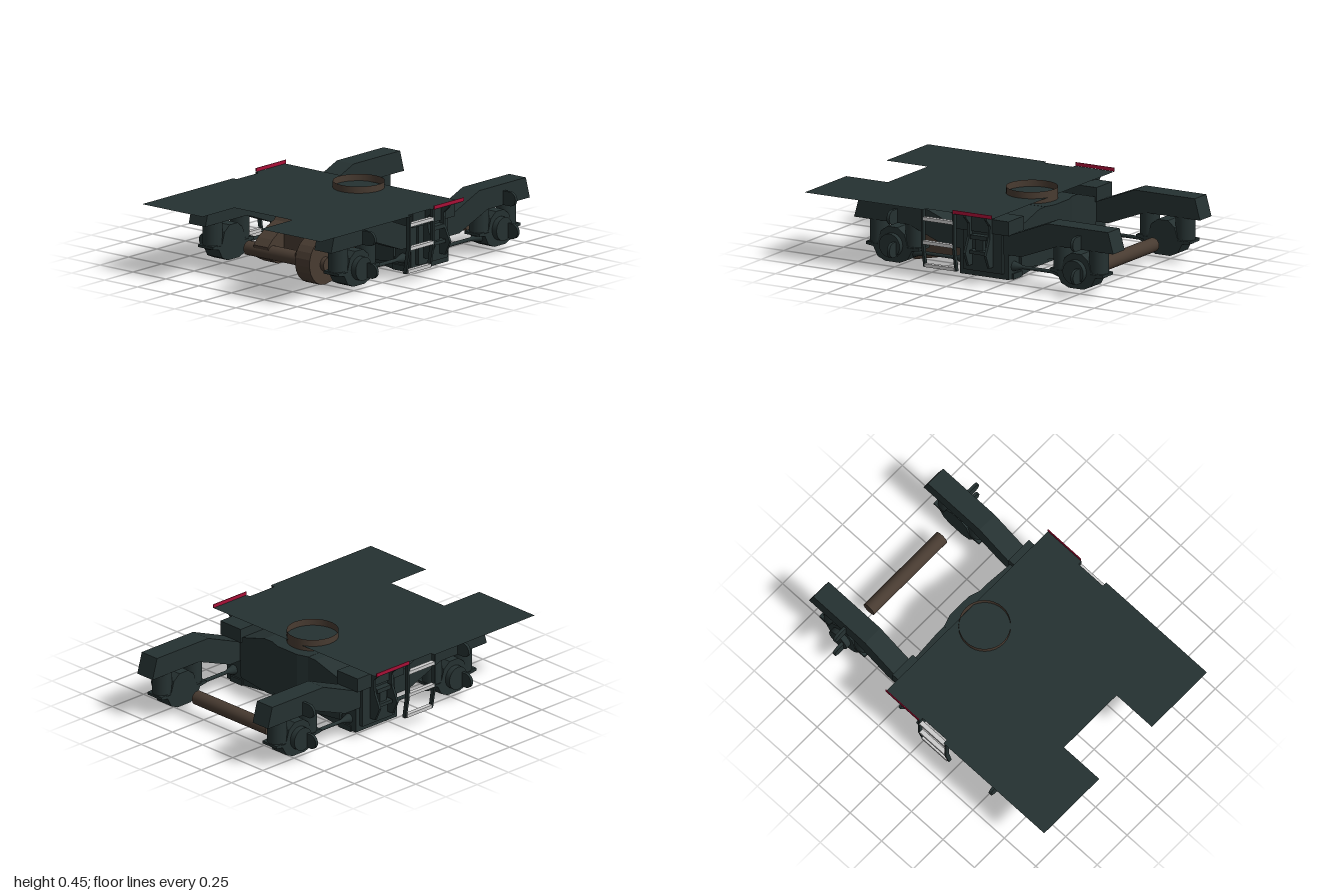
import * as THREE from 'three';

const mat = (name, color, side = THREE.FrontSide) => {
  const m = new THREE.MeshStandardMaterial({ color, side });
  m.name = name;
  return m;
};

export function createModel() {
  const root = new THREE.Group();
  root.name = 'bogie';
  const dark = mat('dark green steel', 0x253131);
  const darkSheet = mat('dark sheet steel', 0x253131, THREE.DoubleSide);
  const brown = mat('brown iron', 0x483b31);
  const brownSheet = mat('brown sheet', 0x483b31, THREE.DoubleSide);
  const red = mat('red', 0xa80f36);
  const grey = mat('light grey', 0xcccccc);
  const MID = -0.125; // z of the pivot, the frame is symmetric about it

  const add = (parent, name, geo, material, x = 0, y = 0, z = 0) => {
    const m = new THREE.Mesh(geo, material);
    m.name = name;
    m.position.set(x, y, z);
    parent.add(m);
    return m;
  };
  // box given by its limits
  const box = (p, name, m, x0, x1, y0, y1, z0, z1) =>
    add(p, name, new THREE.BoxGeometry(x1 - x0, y1 - y0, z1 - z0), m, (x0 + x1) / 2, (y0 + y1) / 2, (z0 + z1) / 2);
  const shape = (pts) => new THREE.Shape(pts.map(([a, b]) => new THREE.Vector2(a, b)));
  const extrude = (pts, depth) => new THREE.ExtrudeGeometry(shape(pts), { depth, bevelEnabled: false, curveSegments: 12 });
  // profile of (x, y) points, running from z0 to z1
  const alongZ = (p, name, m, pts, z0, z1) => add(p, name, extrude(pts, z1 - z0), m, 0, 0, z0);
  // profile of (z, y) points, running from x0 to x1
  const alongX = (p, name, m, pts, x0, x1) =>
    add(p, name, extrude(pts.map(([z, y]) => [-z, y]), x1 - x0).rotateY(Math.PI / 2), m, x0);
  // profile of (x, z) points, running from y0 to y1
  const alongY = (p, name, m, pts, y0, y1) =>
    add(p, name, extrude(pts.map(([x, z]) => [x, -z]), y1 - y0).rotateX(-Math.PI / 2), m, 0, y0);
  const cylX = (p, name, m, r, x0, x1, y, z, r2 = r) =>
    add(p, name, new THREE.CylinderGeometry(r2, r, x1 - x0, 24).rotateZ(-Math.PI / 2), m, (x0 + x1) / 2, y, z);
  const mirrorX = (pts) => [...pts, ...pts.map(([x, y]) => [-x, y]).reverse()];
  const mirrorZ = (pts) => [...pts, ...pts.map(([z, y]) => [-z, y]).reverse()].map(([z, y]) => [z + MID, y]);

  // Floor plate with a front notch and cut-outs above the steps
  const floor = mirrorX([[0.22, 0.72], [0.22, 1], [0.68, 1], [0.68, 0.2], [0.652, 0.2], [0.652, 0], [0.68, 0], [0.68, -0.26]]);
  add(root, 'floorPlate', new THREE.ShapeGeometry(shape(floor.map(([x, z]) => [x, -z]))).rotateX(-Math.PI / 2), darkSheet, 0, 0.415);
  // Pivot ring
  add(root, 'pivotRing', new THREE.CylinderGeometry(0.15, 0.15, 0.07, 32, 1, true), brownSheet, 0, 0.42, -0.12);

  // Cross bolster: sloped shoulders, raised centre and the lower tray
  alongZ(root, 'bolster', dark, mirrorX([[0.2, 0.05], [0.41, 0.075], [0.42, 0.325], [0.21, 0.385]]), -0.3, 0.05);
  const bulge = [[0.15, 0.175], [0.08, 0.198], [-0.08, 0.198], [-0.15, 0.175]];
  const bulgePlan = [...bulge, ...bulge.map(([x, z]) => [-x, -z])].map(([x, z]) => [x, z + MID]);
  alongY(root, 'bolsterCentre', dark, bulgePlan, 0.07, 0.386);
  alongZ(root, 'bolsterTray', dark, mirrorX([[0.2, 0.048], [0.4, 0.026], [0.5, 0.026], [0.5, 0.06], [0.42, 0.09], [0.33, 0.28]]), -0.29, 0.04);

  // Left and right sides
  for (const s of [1, -1]) {
    const side = new THREE.Group();
    side.name = s > 0 ? 'leftSide' : 'rightSide';
    root.add(side);
    const X = (a, b) => (s > 0 ? [a, b] : [-b, -a]);

    // Side frame, dropped in the middle
    alongX(side, 'sideFrame', dark, mirrorZ([
      [0.175, 0.18], [0.255, 0.18], [0.505, 0.275], [0.875, 0.275], [0.84, 0.4], [0.43, 0.4], [0.18, 0.3],
    ]), ...X(0.415, 0.542));

    // Secondary spring housing and its bracket in the middle
    box(side, 'springPocket', dark, ...X(0.42, 0.535), 0.03, 0.18, -0.29, 0.04);
    box(side, 'lowerSill', dark, ...X(0.4, 0.5), 0.026, 0.06, -0.3, 0.05);
    box(side, 'sidePanel', dark, ...X(0.5, 0.56), 0.065, 0.32, -0.26, 0.0);
    box(side, 'sidePanelTop', dark, ...X(0.4, 0.57), 0.3, 0.385, -0.31, 0.06);
    const bracket = [[0.54, 0.1], [0.6, 0.1], [0.637, 0.18], [0.595, 0.27], [0.59, 0.35], [0.632, 0.39], [0.632, 0.413], [0.54, 0.413]];
    for (const z of [-0.2, -0.06]) alongZ(side, 'bracketRib', dark, bracket.map(([x, y]) => [s * x, y]), z, z + 0.015);
    box(side, 'damperTop', dark, ...X(0.55, 0.6), 0.26, 0.285, -0.18, -0.07);
    box(side, 'damperBody', dark, ...X(0.55, 0.59), 0.19, 0.27, -0.15, -0.1);
    box(side, 'damperFoot', dark, ...X(0.55, 0.61), 0.175, 0.195, -0.18, -0.07);

    for (const e of [1, -1]) {
      const zc = MID + e * 0.62;
      // Axle box with wings and a round cap
      const box1 = new THREE.Group();
      box1.name = 'axleBox';
      side.add(box1);
      const w = [[0.05, 0.038], [0.1, 0.06], [0.13, 0.115], [0.18, 0.122], [0.18, 0.138], [0.1, 0.145], [0.08, 0.21], [0.035, 0.245]];
      alongX(box1, 'axleBoxBody', dark, [...w, ...w.map(([z, y]) => [-z, y]).reverse()].map(([z, y]) => [z + zc, y]), ...X(0.42, 0.535));
      cylX(box1, 'axleBoxCap', dark, 0.07, ...X(0.53, 0.57), 0.14, zc);
      // Thin rounded lugs on the cap and on the frame
      const lz = zc + s * -0.038;
      for (const [y, x0, x1, r, z] of [[0.125, 0.55, 0.6, 0.044, lz], [0.317, 0.53, 0.592, 0.042, zc + 0.03 * -s]]) {
        box(box1, 'lugPlate', dark, ...X(x0, x1), y - r, y + r, z - 0.009, z + 0.009);
        add(box1, 'lugTip', new THREE.CylinderGeometry(r, r, 0.018, 20).rotateX(Math.PI / 2), dark, s * x1, y, z);
      }
      // Primary spring pots
      for (const d of [0.12, -0.12]) {
        add(side, 'springPot', new THREE.CylinderGeometry(0.058, 0.058, 0.15, 20), dark, s * 0.478, 0.205, zc + d);
        add(side, 'springSeat', new THREE.CylinderGeometry(0.062, 0.05, 0.02, 20), dark, s * 0.478, 0.125, zc + d);
      }
      // Traction rod with conical ends
      const rod = [[0.03, 0], [0.022, 0.03], [0.011, 0.06], [0.011, 0.26], [0.022, 0.3], [0.03, 0.34]].map(([r, l]) => new THREE.Vector2(r, l));
      const rodMesh = add(side, 'tractionRod', new THREE.LatheGeometry(rod, 12), dark, s * 0.478, 0.102, MID + e * 0.165);
      rodMesh.rotation.x = e * Math.PI / 2;
    }

    // Ladder: two bent rails and three steps
    const ladder = new THREE.Group();
    ladder.name = 'ladder';
    side.add(ladder);
    const rail = [[0.628, 0.068], [0.65, 0.068], [0.676, 0.21], [0.676, 0.415], [0.65, 0.415], [0.65, 0.21]];
    for (const z of [-0.008, 0.202]) alongZ(ladder, 'ladderRail', dark, rail.map(([x, y]) => [s * x, y]), z, z + 0.014);
    for (const [y, x] of [[0.36, 0.65], [0.22, 0.65], [0.08, 0.63]])
      box(ladder, 'ladderStep', grey, ...X(x, x + 0.027), y - 0.01, y + 0.01, 0.004, 0.203);
    // Red edge strip above the floor
    box(side, 'redStrip', red, ...X(0.675, 0.68), 0.417, 0.438, -0.262, 0);
  }

  // Axles
  for (const z of [0.5, -0.75]) cylX(root, 'axle', brown, 0.042, -0.305, 0.305, 0.123, z);

  // Traction motor hung on the front axle
  const motor = new THREE.Group();
  motor.name = 'tractionMotor';
  root.add(motor);
  alongX(motor, 'motorBody', brown, [[0.07, 0.05], [0.35, 0.05], [0.4, 0.1], [0.4, 0.22], [0.33, 0.315], [0.12, 0.315], [0.07, 0.26]], -0.23, 0.19);
  const arm = [[0.3, 0.05], [0.45, 0.05], [0.53, 0.09], [0.54, 0.16], [0.5, 0.2], [0.42, 0.25], [0.3, 0.3]];
  alongX(motor, 'suspensionArm', brown, arm, -0.23, -0.12);
  alongX(motor, 'suspensionArm', brown, arm, 0.085, 0.18);
  // Gear case, round at the axle and tapering to the motor
  const gear = [[0.08, 0.06], [0.2, 0.06]];
  for (let i = 0; i <= 12; i++) {
    const a = -1.9 + (i / 12) * 3.6;
    gear.push([0.5 + 0.135 * Math.cos(a), 0.14 + 0.14 * Math.sin(a)]);
  }
  gear.push([0.3, 0.25], [0.1, 0.24]);
  alongX(motor, 'gearCase', brown, gear, 0.168, 0.278);
  return root;
}
